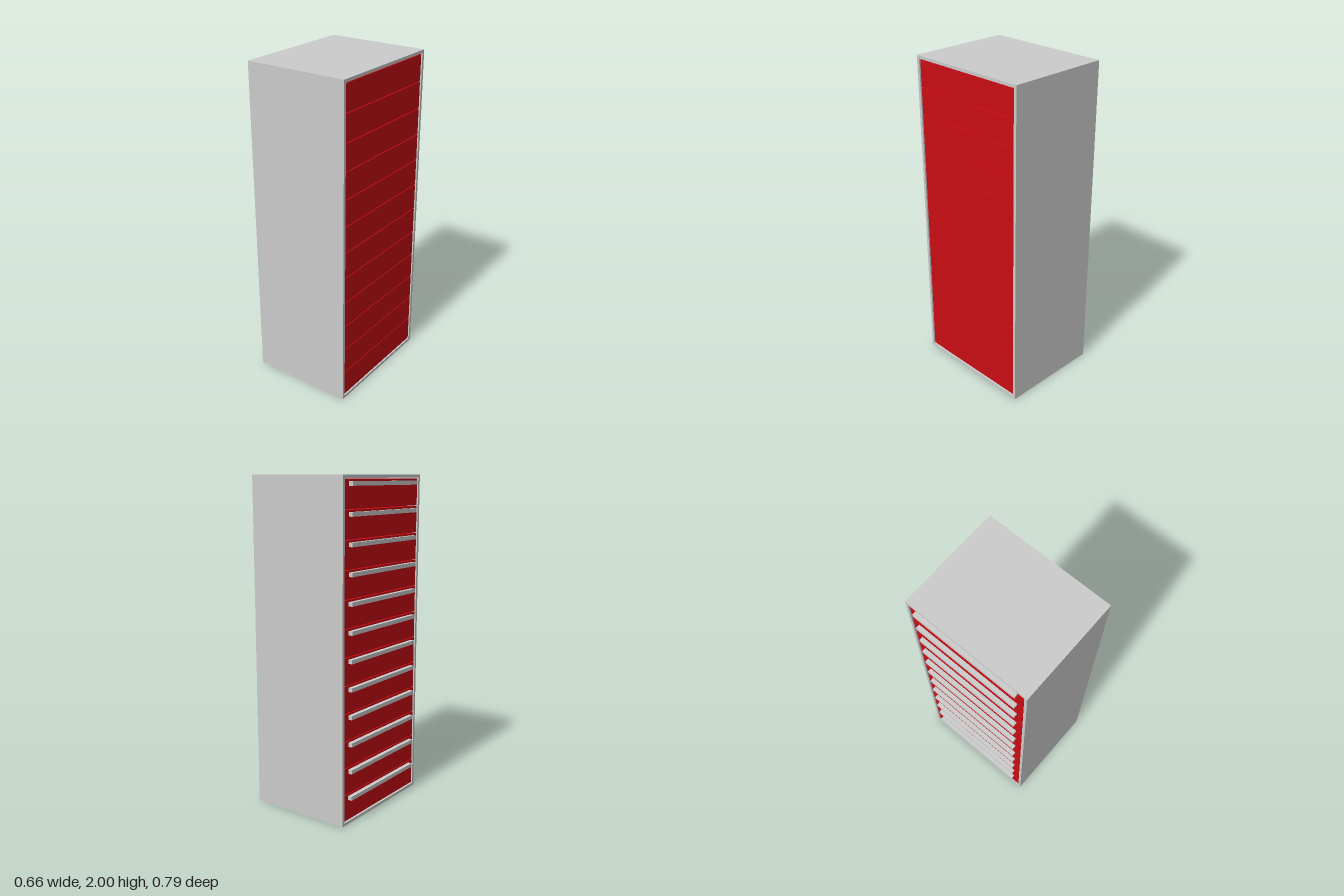
import * as THREE from 'three';

const HEIGHT = 2, DEPTH = 0.79, X_BACK = 0.332, X_FACE = -0.313;
const WALL = 0.018, DRAWERS = 12, PITCH = 0.163, GAP = 0.005, RECESS = 0.005;

function addBox(parent, name, material, size, position) {
  const mesh = new THREE.Mesh(new THREE.BoxGeometry(...size), material);
  mesh.name = name;
  mesh.position.set(...position);
  parent.add(mesh);
}

export function createModel() {
  const model = new THREE.Group();
  model.name = 'drawerCabinet';
  const grey = new THREE.MeshStandardMaterial({ color: 0xcccccc });
  const red = new THREE.MeshStandardMaterial({ color: 0xc80d14 });

  // Cabinet shell: four walls, open at both ends along x
  const length = X_BACK - X_FACE, midX = (X_BACK + X_FACE) / 2;
  const rect = (path, w, y0, y1) => path
    .moveTo(-w, y0).lineTo(w, y0).lineTo(w, y1).lineTo(-w, y1).closePath();
  const outline = new THREE.Shape();
  rect(outline, DEPTH / 2, 0, HEIGHT);
  const opening = new THREE.Path();
  rect(opening, DEPTH / 2 - WALL, WALL, HEIGHT - WALL);
  outline.holes.push(opening);
  const shellGeometry = new THREE.ExtrudeGeometry(outline, { depth: length, bevelEnabled: false });
  shellGeometry.rotateY(Math.PI / 2).translate(X_FACE, 0, 0);
  const shell = new THREE.Mesh(shellGeometry, grey);
  shell.name = 'cabinetShell';
  model.add(shell);

  // Stacked drawers, each with a long bar handle near its top edge
  const drawerWidth = DEPTH - 2 * WALL - 2 * GAP;
  const faceX = X_FACE + RECESS, handleX = -0.333;
  for (let i = 0; i < DRAWERS; i++) {
    const bottom = 0.025 + i * PITCH;
    const drawer = new THREE.Group();
    drawer.name = `drawer${i + 1}`;
    addBox(drawer, 'drawerBody', red,
      [length - 2 * RECESS, PITCH - GAP, drawerWidth],
      [midX, bottom + (PITCH - GAP) / 2, 0]);
    addBox(drawer, 'handle', grey,
      [faceX - handleX, 0.024, 0.665],
      [(faceX + handleX) / 2, bottom + 0.135, 0]);
    model.add(drawer);
  }
  return model;
}
